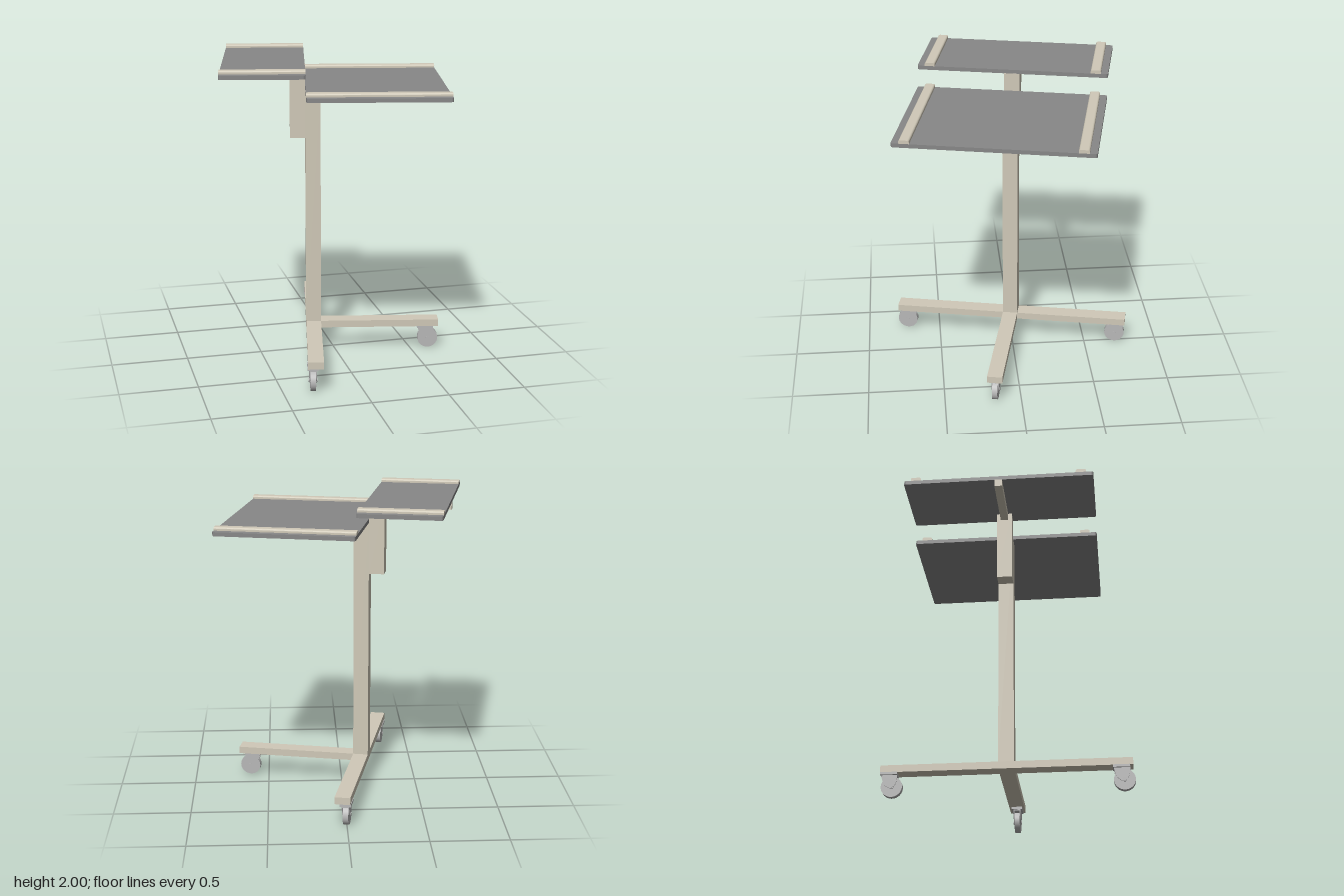
import * as THREE from 'three';

const beige = new THREE.MeshStandardMaterial({ color: 0xd0c9b8 });
const slate = new THREE.MeshStandardMaterial({ color: 0x888888 });
const grey = new THREE.MeshStandardMaterial({ color: 0xb8b8b8 });

function add(parent, name, geometry, material) {
  const mesh = new THREE.Mesh(geometry, material);
  mesh.name = name;
  parent.add(mesh);
  return mesh;
}

// Box given by its minimum and maximum on each axis
function box(parent, name, [x0, x1], [y0, y1], [z0, z1], material = beige) {
  const mesh = add(parent, name, new THREE.BoxGeometry(x1 - x0, y1 - y0, z1 - z0), material);
  mesh.position.set((x0 + x1) / 2, (y0 + y1) / 2, (z0 + z1) / 2);
  return mesh;
}

// Table board with small rounded corners
function board(x0, x1, z0, z1, thickness) {
  const r = 0.015, s = new THREE.Shape();
  s.absarc(x1 - r, z1 - r, r, 0, Math.PI / 2);
  s.absarc(x0 + r, z1 - r, r, Math.PI / 2, Math.PI);
  s.absarc(x0 + r, z0 + r, r, Math.PI, Math.PI * 1.5);
  s.absarc(x1 - r, z0 + r, r, Math.PI * 1.5, Math.PI * 2);
  return new THREE.ExtrudeGeometry(s, { depth: thickness, bevelEnabled: false, curveSegments: 4 })
    .rotateX(Math.PI / 2).translate(0, thickness, 0);
}

// Edge rail with rounded upper edges, running along x
function rail(length) {
  const w = 0.033, h = 0.022, r = 0.012, s = new THREE.Shape();
  s.moveTo(-w, 0);
  s.lineTo(w, 0);
  s.lineTo(w, h - r);
  s.absarc(w - r, h - r, r, 0, Math.PI / 2);
  s.absarc(-w + r, h - r, r, Math.PI / 2, Math.PI);
  s.closePath();
  return new THREE.ExtrudeGeometry(s, { depth: length, bevelEnabled: false, curveSegments: 4 })
    .rotateY(Math.PI / 2);
}

function table(name, x0, x1, y) {
  const g = new THREE.Group();
  g.name = name;
  add(g, 'tableBoard', board(x0, x1, -0.588, 0.646, 0.026), slate);
  for (const z of [-0.51, 0.566]) {
    add(g, 'edgeRail', rail(x1 - x0), beige).position.set(x0, 0.026, z);
  }
  g.position.y = y;
  return g;
}

// Caster rolling along its own z, wheel centred on the group origin in x and z
function caster(x, z, turn) {
  const g = new THREE.Group();
  g.name = 'caster';
  const R = 0.068;
  add(g, 'wheel', new THREE.CylinderGeometry(R, R, 0.036, 32).rotateZ(Math.PI / 2), grey).position.y = R;
  add(g, 'axle', new THREE.CylinderGeometry(0.012, 0.012, 0.056, 12).rotateZ(Math.PI / 2), grey).position.y = R;
  // Fork cheeks taper from the swivel down to the axle
  const s = new THREE.Shape();
  s.moveTo(-0.066, 0.142);
  s.lineTo(0.036, 0.142);
  s.quadraticCurveTo(0.034, 0.09, 0.016, R);
  s.absarc(0, R, 0.016, 0, -Math.PI * 0.75, true);
  s.quadraticCurveTo(-0.055, 0.07, -0.066, 0.142);
  const cheek = new THREE.ExtrudeGeometry(s, { depth: 0.006, bevelEnabled: false, curveSegments: 8 })
    .rotateY(-Math.PI / 2);
  for (const cx of [-0.018, 0.024]) add(g, 'forkCheek', cheek, grey).position.x = cx;
  box(g, 'forkCrown', [-0.024, 0.024], [0.136, 0.144], [-0.066, 0.036], grey);
  box(g, 'mountPlate', [-0.036, 0.036], [0.144, 0.161], [-0.072, 0.036], grey);
  g.position.set(x, 0, z);
  g.rotation.y = turn;
  return g;
}

export function createModel() {
  const model = new THREE.Group();
  model.name = 'rollingTable';
  // The whole table stands turned a little about the vertical
  const g = new THREE.Group();
  g.name = 'turnedTable';
  g.rotation.y = -0.2094;
  model.add(g);

  // T-shaped foot
  box(g, 'baseBeam', [-0.182, -0.082], [0.16, 0.207], [-0.77, 0.825]);
  box(g, 'baseLeg', [-0.082, 0.712], [0.16, 0.207], [-0.02, 0.08]);

  // Column, raised post beside it, and the arm under the high table
  box(g, 'column', [-0.182, -0.082], [0.207, 1.809], [-0.02, 0.08]);
  box(g, 'raisedPost', [-0.282, -0.182], [1.47, 1.953], [-0.02, 0.08]);
  box(g, 'supportArm', [-0.71, -0.282], [1.905, 1.953], [0.005, 0.055]);

  // Tables
  g.add(table('lowTable', -0.182, 0.712, 1.809));
  g.add(table('highTable', -0.71, -0.185, 1.952));

  // Casters
  g.add(caster(-0.15, 0.769, 0));
  g.add(caster(-0.15, -0.697, 0));
  g.add(caster(0.643, 0.032, Math.PI / 2));
  return model;
}
